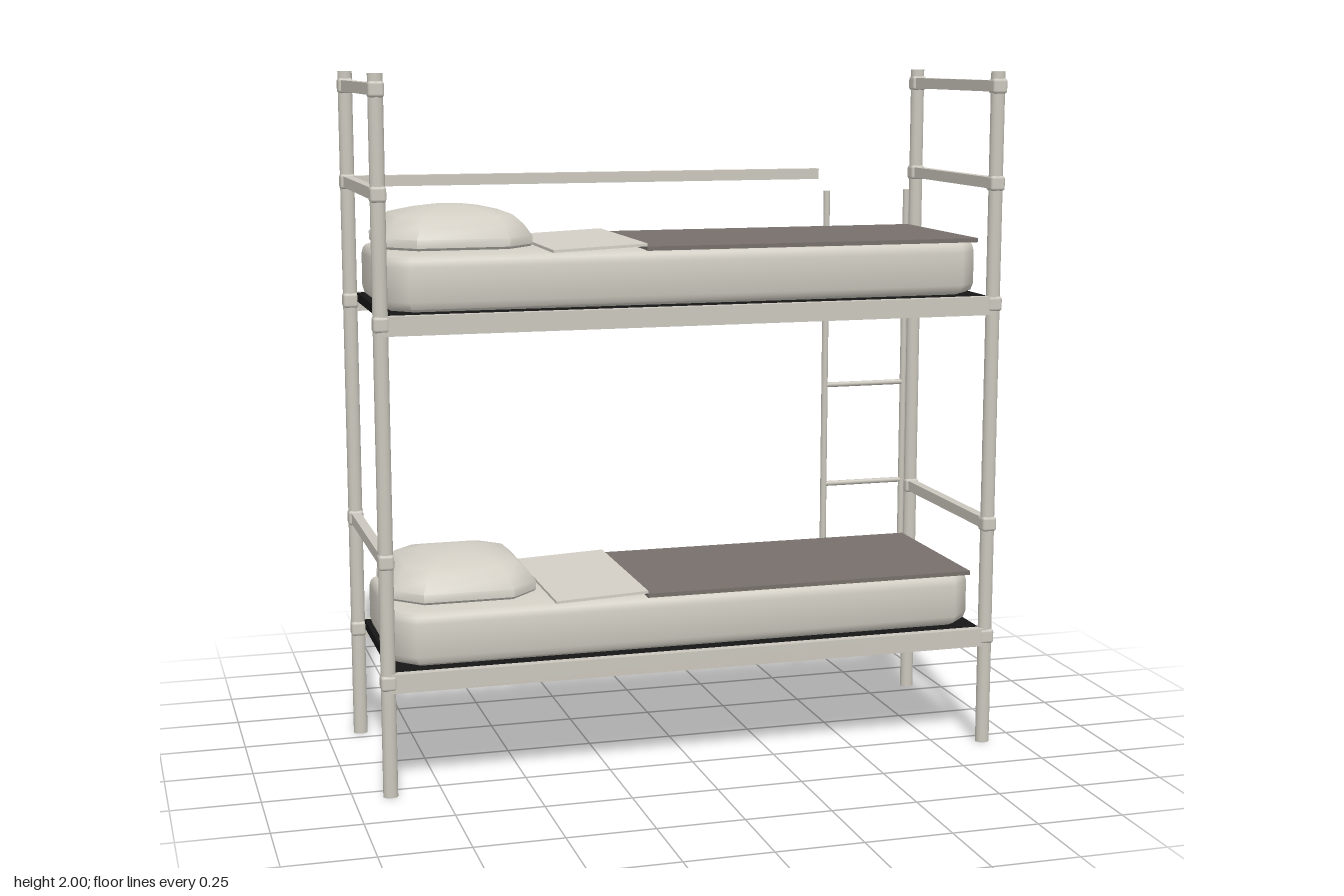
import * as THREE from 'three';
import { toCreasedNormals } from 'three/addons/utils/BufferGeometryUtils.js';
import { RoundedBoxGeometry } from 'three/addons/geometries/RoundedBoxGeometry.js';

function material(name, color) {
  const m = new THREE.MeshStandardMaterial({ color });
  m.name = name;
  return m;
}

// Stack of chamfered rectangles: rings are [y, inset], closed at both ends
function cushionGeometry(halfX, halfZ, chamfer, rings, crease) {
  const pos = [], index = [], n = 8;
  for (const [y, inset] of rings) {
    const a = halfX - inset, b = halfZ - inset;
    const c = chamfer * Math.min(a / halfX, b / halfZ);
    const outline = [[a, b - c], [a - c, b], [c - a, b], [-a, b - c],
      [-a, c - b], [c - a, -b], [a - c, -b], [a, c - b]];
    for (const [x, z] of outline) pos.push(x, y, z);
  }
  const last = rings.length - 1;
  for (let r = 0; r < last; r++) {
    for (let i = 0; i < n; i++) {
      const a = r * n + i, b = r * n + (i + 1) % n;
      index.push(a, a + n, b, b, a + n, b + n);
    }
  }
  const base = pos.length / 3;
  pos.push(0, rings[0][0], 0, 0, rings[last][0], 0);
  for (let i = 0; i < n; i++) {
    const j = (i + 1) % n;
    index.push(base, i, j, base + 1, last * n + j, last * n + i);
  }
  const g = new THREE.BufferGeometry();
  g.setAttribute('position', new THREE.Float32BufferAttribute(pos, 3));
  g.setIndex(index);
  return toCreasedNormals(g, crease);
}

export function createModel() {
  const root = new THREE.Group();
  root.name = 'bunkBed';
  const frame = material('warm grey metal', 0xcbc7bd);
  const linen = material('pale linen', 0xd3cfc5);
  const wool = material('brown grey blanket', 0x77706b);
  const black = material('black base', 0x161616);

  function add(parent, name, geometry, mat, x, y, z) {
    const mesh = new THREE.Mesh(geometry, mat);
    mesh.name = name;
    mesh.position.set(x, y, z);
    parent.add(mesh);
    return mesh;
  }
  const box = (parent, name, mat, w, h, d, x, y, z) =>
    add(parent, name, new THREE.BoxGeometry(w, h, d), mat, x, y, z);

  const PX = 0.897, PZ = 0.301;

  // Corner posts with joint sleeves
  const postGeo = new THREE.CylinderGeometry(0.021, 0.021, 2, 12);
  const jointGeo = new RoundedBoxGeometry(0.044, 0.044, 0.044, 2, 0.009);
  for (const x of [-PX, PX]) {
    for (const z of [-PZ, PZ]) {
      add(root, 'post', postGeo, frame, x, 1, z).scale.z = 0.87;
      for (const y of [0.33, 0.673, 1.33, 1.68, 1.958]) {
        add(root, 'joint', jointGeo, frame, x, y, z);
      }
    }
    // Crossbars at head and foot
    for (const y of [0.673, 1.68, 1.958]) {
      box(root, 'endRail', frame, 0.028, 0.032, PZ * 2, x, y, 0);
    }
  }

  // Guard rail along the back of the upper bunk
  box(root, 'guardRail', frame, 1.46, 0.032, 0.028, -0.162, 1.68, -0.306);

  // Ladder
  const ladder = new THREE.Group();
  ladder.name = 'ladder';
  root.add(ladder);
  const stileGeo = new THREE.CylinderGeometry(0.01, 0.01, 1.495, 10);
  for (const x of [0.603, 0.87]) add(ladder, 'ladderStile', stileGeo, frame, x, 0.878, -0.312);
  const rungGeo = new THREE.CylinderGeometry(0.008, 0.008, 0.267, 10);
  for (const y of [0.37, 0.69, 1.01, 1.33]) {
    add(ladder, 'ladderRung', rungGeo, frame, 0.7365, y, -0.312).rotation.z = Math.PI / 2;
  }

  const mattressGeo = cushionGeometry(0.872, 0.274, 0.06,
    [[0.357, 0.02], [0.365, 0.006], [0.385, 0], [0.48, 0], [0.498, 0.004], [0.507, 0.012], [0.511, 0.024]], 0.9);
  const pillowGeo = cushionGeometry(0.21, 0.22, 0.08,
    [[0.52, 0.006], [0.527, 0], [0.55, 0], [0.582, 0.022], [0.608, 0.05], [0.624, 0.115], [0.632, 0.17]], 0.7);

  // Turned down sheet, rising slightly towards the blanket
  const sheetGeo = new THREE.BoxGeometry(0.27, 0.008, 0.54);
  const p = sheetGeo.attributes.position;
  for (let i = 0; i < p.count; i++) if (p.getX(i) > 0) p.setY(i, p.getY(i) + 0.012);
  sheetGeo.computeVertexNormals();

  // Two identical bunks
  for (const [name, y] of [['lowerBunk', 0], ['upperBunk', 0.997]]) {
    const bunk = new THREE.Group();
    bunk.name = name;
    bunk.position.y = y;
    root.add(bunk);
    for (const z of [-0.306, 0.306]) {
      box(bunk, 'sideRail', frame, PX * 2, 0.054, 0.028, 0, 0.328, z);
    }
    box(bunk, 'bedBase', black, 1.756, 0.026, 0.586, 0, 0.343, 0);
    add(bunk, 'mattress', mattressGeo, linen, 0, 0, 0);
    add(bunk, 'pillow', pillowGeo, linen, -0.65, 0, 0);
    add(bunk, 'sheet', sheetGeo, linen, -0.275, 0.515, 0);
    box(bunk, 'blanket', wool, 1.0, 0.012, 0.54, 0.36, 0.516, 0);
  }
  return root;
}
